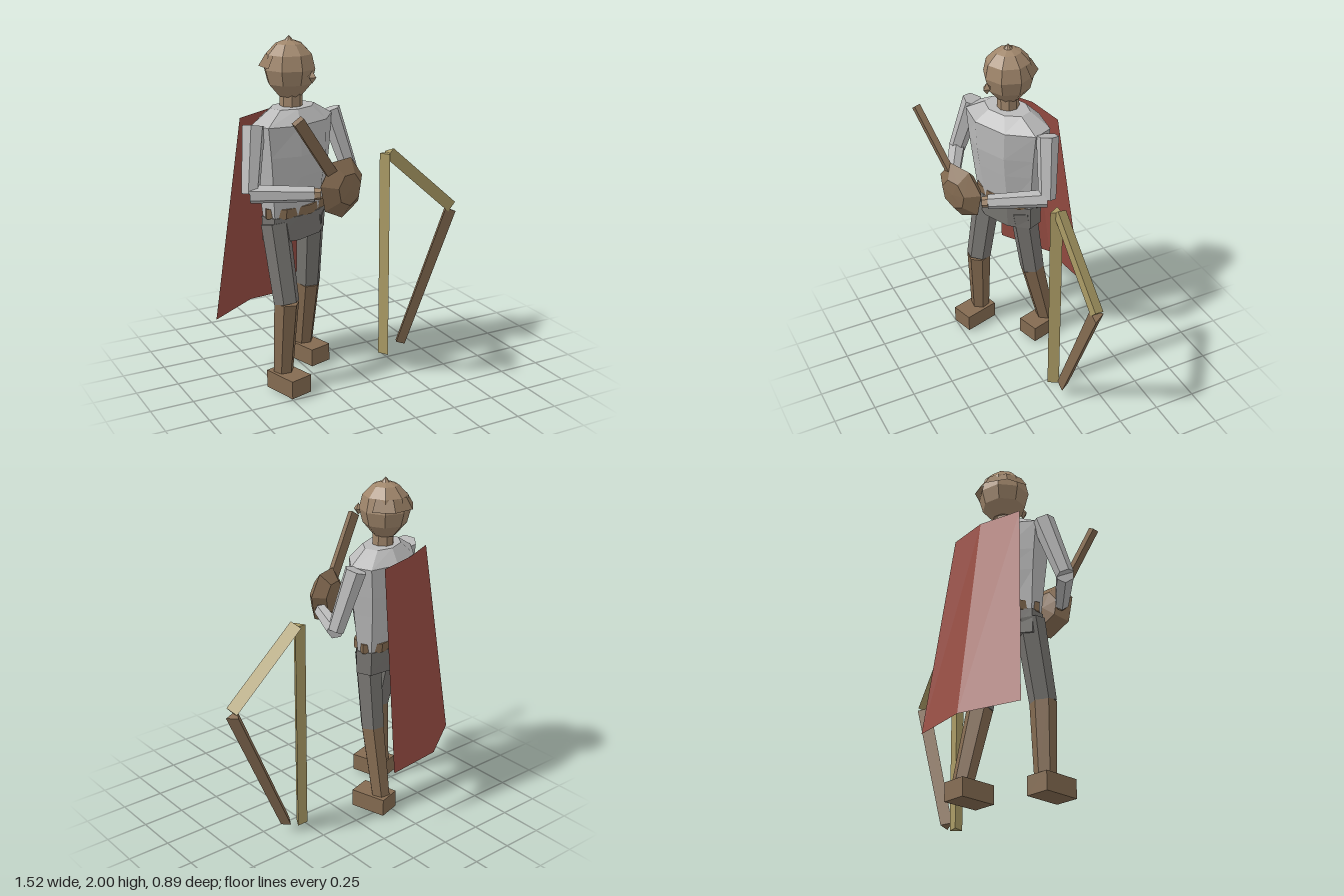
import * as THREE from 'three';

const mat = (name, color, side = THREE.FrontSide) => {
  const m = new THREE.MeshStandardMaterial({ color, flatShading: true, side });
  m.name = name;
  return m;
};
const V = (x, y, z) => new THREE.Vector3(x, y, z);
const UP = V(0, 1, 0);

export function createModel() {
  const skin = mat('tan', 0xa0866b);
  const brown = mat('leather brown', 0x846b51);
  const steel = mat('steel grey', 0xbababa);
  const cloth = mat('dark grey', 0x787672);
  const red = mat('cape red', 0x984d43, THREE.DoubleSide);
  const brim = mat('brim tan', 0x937a60, THREE.DoubleSide);
  const olive = mat('olive wood', 0xaa9b65);

  const model = new THREE.Group();
  const FACING = 0.41; // turn of the figure towards its left

  const add = (name, geo, material, pos, yaw = 0, parent = model) => {
    const mesh = new THREE.Mesh(geo, material);
    mesh.name = name;
    mesh.position.copy(pos);
    mesh.rotation.y = yaw;
    parent.add(mesh);
    return mesh;
  };

  // Tapered prism running from point a to point b
  const limb = (name, a, b, ra, rb, sides, material, twist = 0) => {
    const geo = new THREE.CylinderGeometry(rb, ra, a.distanceTo(b), sides);
    geo.rotateY(twist);
    const mesh = add(name, geo, material, a.clone().lerp(b, 0.5));
    mesh.quaternion.setFromUnitVectors(UP, b.clone().sub(a).normalize());
    return mesh;
  };

  // Stack of elliptical eight-sided rings, closed at both ends: [y, halfWidth, halfDepth]
  const rings = (list, offset = Math.PI / 8, n = 8) => {
    const pos = [], idx = [];
    const rows = [[list[0][0], 0, 0], ...list, [list[list.length - 1][0], 0, 0]];
    for (const [y, w, d] of rows)
      for (let i = 0; i < n; i++) {
        const t = offset + (i / n) * Math.PI * 2;
        pos.push(w * Math.sin(t), y, d * Math.cos(t));
      }
    for (let r = 0; r < rows.length - 1; r++)
      for (let i = 0; i < n; i++) {
        const a = r * n + i, b = r * n + ((i + 1) % n);
        if (r > 0) idx.push(a, b, b + n);
        if (r < rows.length - 2 || r === 0) idx.push(a, b + n, a + n);
        if (r === rows.length - 2) idx.push(a, b, b + n);
      }
    const geo = new THREE.BufferGeometry();
    geo.setAttribute('position', new THREE.Float32BufferAttribute(pos, 3));
    geo.setIndex(idx);
    geo.computeVertexNormals();
    return geo;
  };

  // Head with neck, nose, pointed cap and a brim round the back
  const headAt = V(-0.342, 0, -0.068);
  add('head', rings([[1.67, 0.065, 0.065], [1.74, 0.125, 0.125], [1.82, 0.146, 0.146],
    [1.9, 0.128, 0.128], [1.955, 0.075, 0.075], [1.972, 0.03, 0.03]], 0), skin, headAt, 0.07);
  add('neck', new THREE.CylinderGeometry(0.063, 0.063, 0.12, 8), skin, V(-0.337, 1.635, -0.062), FACING);
  add('capTip', new THREE.ConeGeometry(0.04, 0.045, 8), skin, V(-0.342, 1.9775, -0.068), 0.07);
  add('nose', new THREE.OctahedronGeometry(0.036), skin, V(-0.283, 1.79, 0.092), FACING)
    .scale.set(0.7, 1, 0.8);
  add('capBrim', new THREE.CylinderGeometry(0.128, 0.168, 0.065, 4, 1, true, Math.PI / 2, Math.PI),
    brim, V(-0.342, 1.868, -0.068), FACING);

  // Torso, belt and hips
  const bodyAt = V(-0.335, 0, -0.055);
  add('torso', rings([[1.02, 0.225, 0.115], [1.25, 0.25, 0.15], [1.37, 0.265, 0.165],
    [1.54, 0.285, 0.165], [1.615, 0.15, 0.1]]), steel, bodyAt, FACING);
  add('belt', rings([[1.015, 0.228, 0.125], [1.07, 0.228, 0.13]], 0), brown, bodyAt, FACING);
  add('hips', rings([[0.88, 0.23, 0.12], [1.02, 0.232, 0.125]]), cloth, bodyAt, FACING);

  // Legs and boots
  const legs = [
    ['right', V(-0.48, 0.98, 0.01), V(-0.458, 0.53, 0.095), V(-0.482, 0.1, 0.085), V(-0.468, 0.062, 0.13)],
    ['left', V(-0.212, 0.98, -0.09), V(-0.205, 0.53, -0.15), V(-0.197, 0.1, -0.245), V(-0.183, 0.062, -0.2)],
  ];
  for (const [side, hip, knee, ankle, foot] of legs) {
    limb(side + 'Thigh', knee, hip, 0.074, 0.083, 6, cloth, FACING);
    limb(side + 'Boot', ankle, knee, 0.058, 0.073, 6, brown, FACING);
    add(side + 'Foot', new THREE.BoxGeometry(0.14, 0.105, 0.22), brown, foot, 0.28);
  }

  // Arms and hands
  const arms = [
    ['right', V(-0.605, 1.545, 0.035), V(-0.672, 1.2, 0.125), V(-0.37, 1.2, 0.285), V(-0.34, 1.2, 0.3)],
    ['left', V(-0.05, 1.545, -0.165), V(0.05, 1.2, -0.115), V(-0.09, 1.185, 0.19), V(-0.105, 1.183, 0.22)],
  ];
  for (const [side, shoulder, elbow, wrist, hand] of arms) {
    limb(side + 'UpperArm', elbow, shoulder, 0.05, 0.064, 6, steel, FACING);
    limb(side + 'Forearm', elbow, wrist, 0.052, 0.042, 6, steel);
    limb(side + 'Hand', wrist, hand, 0.034, 0.03, 6, skin);
  }

  // Cape: three columns from shoulders to hem
  const cape = new THREE.BufferGeometry();
  cape.setAttribute('position', new THREE.Float32BufferAttribute([
    -0.62, 1.56, -0.12, -0.385, 1.57, -0.24, -0.155, 1.56, -0.285,
    -0.765, 0.37, -0.21, -0.465, 0.37, -0.41, -0.115, 0.37, -0.448], 3));
  cape.setIndex([0, 1, 4, 0, 4, 3, 1, 2, 5, 1, 5, 4]);
  cape.computeVertexNormals();
  add('cape', cape, red, V(0, 0, 0));

  // Stringed instrument: faceted round body and a long straight neck
  const bowl = new THREE.LatheGeometry([[0, -0.07], [0.1, -0.06], [0.17, 0], [0.09, 0.06], [0, 0.065]]
    .map(([r, y]) => new THREE.Vector2(r, y)), 7);
  bowl.rotateX(Math.PI / 2);
  add('instrumentBody', bowl, brown, V(-0.215, 1.22, 0.3), 0.35);
  const from = V(-0.28, 1.3, 0.325), to = V(-0.527, 1.64, 0.42);
  const neck = add('instrumentNeck', new THREE.BoxGeometry(0.06, from.distanceTo(to), 0.035), brown,
    from.clone().lerp(to, 0.5));
  neck.quaternion.setFromUnitVectors(UP, to.clone().sub(from).normalize());

  // Three-sided wooden beams standing beside the figure
  limb('uprightBeam', V(0.27, 0.0, -0.058), V(0.27, 1.27, -0.058), 0.04, 0.04, 3, olive);
  limb('slantedBeam', V(0.725, 0.88, -0.065), V(0.285, 1.27, -0.065), 0.042, 0.042, 3, olive, Math.PI);
  limb('leaningBeam', V(0.375, 0.048, -0.065), V(0.72, 0.862, -0.068), 0.038, 0.045, 3, brown, Math.PI);

  return model;
}
